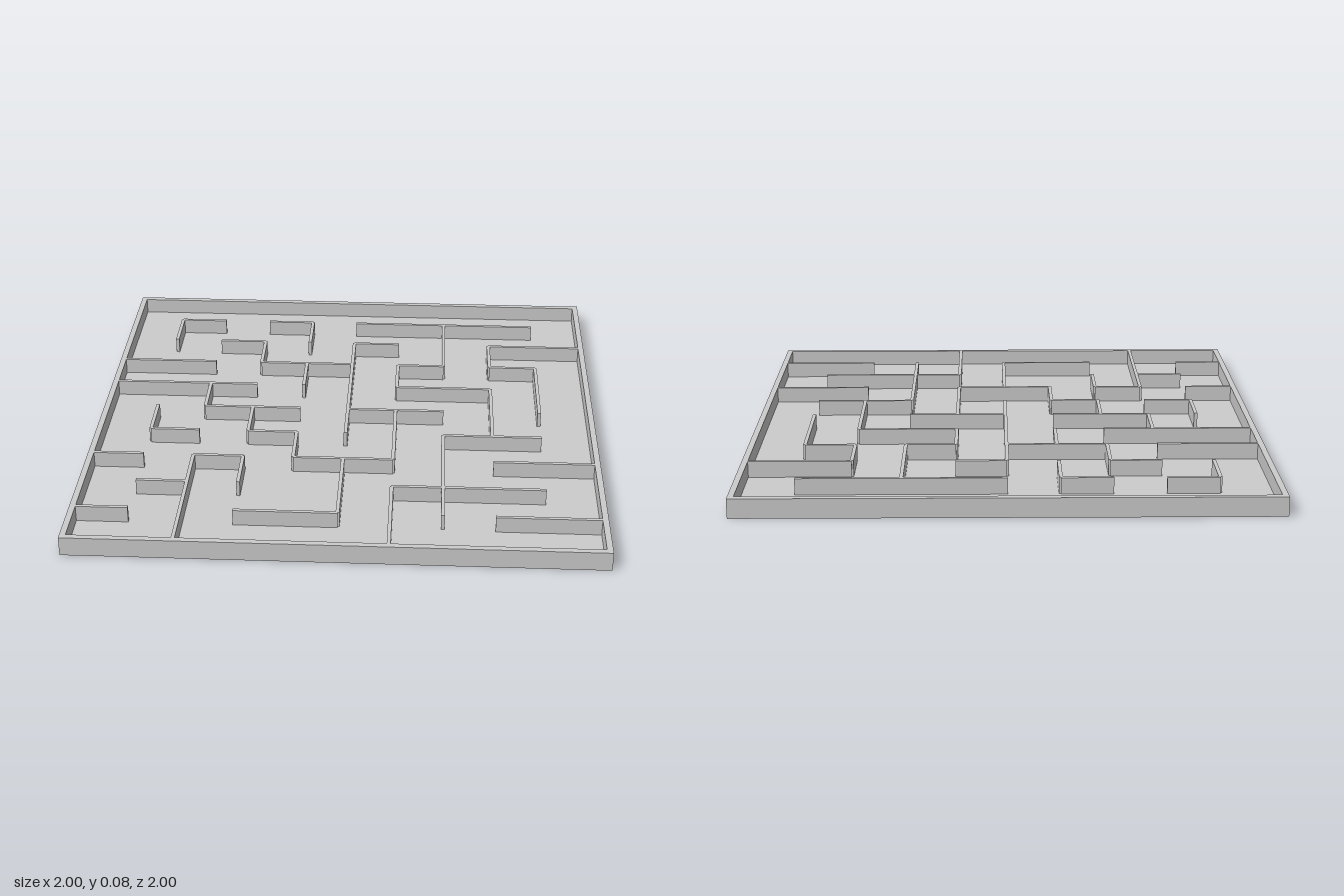
import * as THREE from 'three';

const BASE = 0.012;      // floor slab thickness
const TOP = 0.075;       // top of every wall
const RIM = 0.023;       // outer wall thickness
const THIN = 0.014;      // inner wall thickness
const CELLS = 10;
const INNER = 1 - RIM;   // half width of the maze field
const CELL = (2 * INNER) / CELLS;

// Wall runs as [start, end] grid nodes, one list per inner grid line.
const ROWS = [ // along x, from back to front
  [[1, 2], [3, 4], [5, 9]],
  [[2, 3], [5, 6], [8, 10]],
  [[0, 2], [3, 5], [6, 7], [8, 9]],
  [[0, 3], [6, 8]],
  [[2, 4], [5, 7]],
  [[1, 2], [3, 4], [7, 9]],
  [[0, 1], [2, 3], [4, 6], [8, 10]],
  [[1, 2], [6, 9]],
  [[0, 1], [3, 5], [8, 10]],
];
const COLUMNS = [ // along z, from -x to +x
  [[1, 2], [5, 6]],
  [[4, 5], [7, 10]],
  [[2, 3], [5, 6], [7, 8]],
  [[1, 2], [3, 4], [6, 7]],
  [[2, 6], [7, 9]],
  [[3, 4], [5, 7], [8, 10]],
  [[1, 3], [6, 9]],
  [[2, 3], [4, 6]],
  [[3, 5]],
];

export function createModel() {
  const model = new THREE.Group();
  model.name = 'mazeBoard';
  const material = new THREE.MeshStandardMaterial({ color: 0xcccccc, flatShading: true });
  const node = (i) => -INNER + i * CELL;

  function box(parent, name, width, depth, x, z, bottom, top) {
    const mesh = new THREE.Mesh(new THREE.BoxGeometry(width, top - bottom, depth), material);
    mesh.position.set(x, (bottom + top) / 2, z);
    mesh.name = name;
    parent.add(mesh);
  }

  // Floor slab
  box(model, 'floor', 2, 2, 0, 0, 0, BASE);

  // Outer rim: front and back run full width, sides fit between them
  const rim = new THREE.Group();
  rim.name = 'outerWalls';
  const edge = 1 - RIM / 2;
  box(rim, 'frontWall', 2, RIM, 0, edge, BASE, TOP);
  box(rim, 'backWall', 2, RIM, 0, -edge, BASE, TOP);
  box(rim, 'leftWall', RIM, 2 * INNER, edge, 0, BASE, TOP);
  box(rim, 'rightWall', RIM, 2 * INNER, -edge, 0, BASE, TOP);
  model.add(rim);

  // Inner maze walls
  const maze = new THREE.Group();
  maze.name = 'mazeWalls';
  ROWS.forEach((runs, i) => runs.forEach(([a, b]) =>
    box(maze, 'crosswiseWall', (b - a) * CELL, THIN, node((a + b) / 2), node(i + 1), BASE, TOP)));
  COLUMNS.forEach((runs, i) => runs.forEach(([a, b]) =>
    box(maze, 'lengthwiseWall', THIN, (b - a) * CELL, node(i + 1), node((a + b) / 2), BASE, TOP)));
  model.add(maze);

  return model;
}
